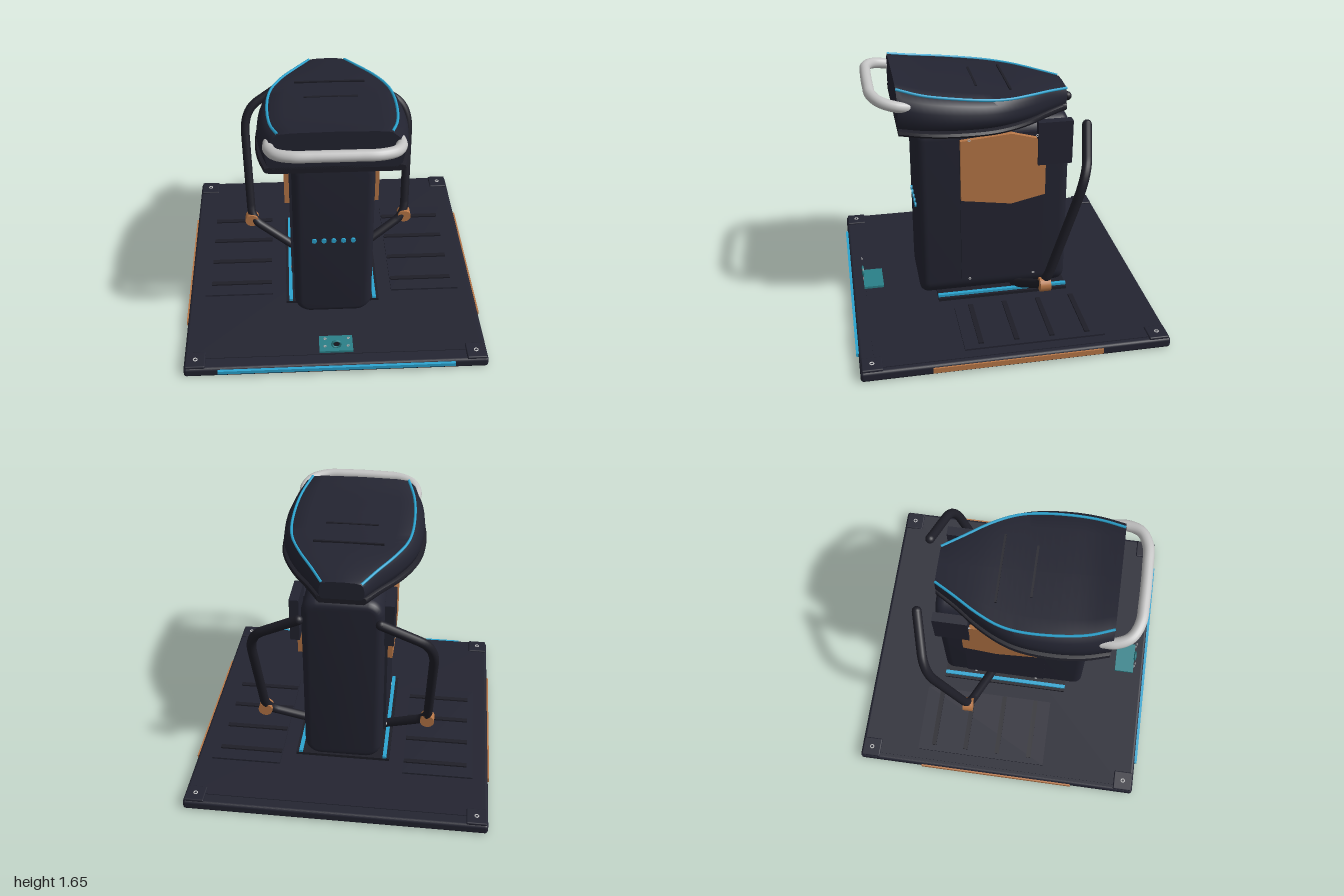
import * as THREE from 'three';
import { toCreasedNormals } from 'three/addons/utils/BufferGeometryUtils.js';
import { RoundedBoxGeometry } from 'three/addons/geometries/RoundedBoxGeometry.js';

const paint = (name, color) => {
  const m = new THREE.MeshStandardMaterial({ color });
  m.name = name;
  return m;
};
const V = (x, y, z) => new THREE.Vector3(x, y, z);

// Closed skin over a list of convex rings, ordered back to front
function loft(rings) {
  const n = rings[0].length, pos = [], idx = [];
  rings.forEach(r => r.forEach(p => pos.push(p.x, p.y, p.z)));
  for (let i = 0; i < rings.length - 1; i++) {
    for (let j = 0; j < n; j++) {
      const a = i * n + j, b = i * n + (j + 1) % n;
      idx.push(a, b, b + n, a, b + n, a + n);
    }
  }
  const last = (rings.length - 1) * n;
  for (let j = 1; j < n - 1; j++) {
    idx.push(0, j + 1, j);
    idx.push(last, last + j, last + j + 1);
  }
  const g = new THREE.BufferGeometry();
  g.setAttribute('position', new THREE.Float32BufferAttribute(pos, 3));
  g.setIndex(idx);
  return toCreasedNormals(g, 0.7);
}

// Full ring from the right half of a section, given from bottom to top
function mirrorRing(half, z) {
  const right = half.map(([x, y]) => V(x, y, z));
  const left = half.filter(p => p[0] > 0).reverse().map(([x, y]) => V(-x, y, z));
  return [...right, ...left];
}

function roundedRect(x0, y0, x1, y1, r) {
  const s = new THREE.Shape();
  s.absarc(x1 - r, y0 + r, r, -Math.PI / 2, 0);
  s.absarc(x1 - r, y1 - r, r, 0, Math.PI / 2);
  s.absarc(x0 + r, y1 - r, r, Math.PI / 2, Math.PI);
  s.absarc(x0 + r, y0 + r, r, Math.PI, Math.PI * 1.5);
  return s;
}

export function createModel() {
  const root = new THREE.Group();
  root.name = 'seatOnPlatform';
  const navy = paint('dark navy', 0x232431);
  const black = paint('soft black', 0x1e1e27);
  const copper = paint('copper', 0xb87747);
  const cyan = paint('cyan', 0x2ba4d0);
  const teal = paint('teal', 0x2a8088);
  const silver = paint('silver', 0xc4c4c4);

  const add = (name, geo, mat, x = 0, y = 0, z = 0) => {
    const m = new THREE.Mesh(geo, mat);
    m.name = name;
    m.position.set(x, y, z);
    root.add(m);
    return m;
  };
  // Box given by its limits
  const box = (name, mat, x0, x1, y0, y1, z0, z1) => add(name,
    new THREE.BoxGeometry(x1 - x0, y1 - y0, z1 - z0), mat, (x0 + x1) / 2, (y0 + y1) / 2, (z0 + z1) / 2);
  const tube = (name, curve, r, mat, steps = 48, sides = 14) =>
    add(name, new THREE.TubeGeometry(curve, steps, r, sides), mat);
  const ball = (name, p, r, mat) => add(name, new THREE.SphereGeometry(r, 14, 10), mat, p.x, p.y, p.z);

  // Platform with raised centre, edge strips and corner plates
  add('platform', new RoundedBoxGeometry(1.98, 0.07, 1.98, 3, 0.02), navy, 0, 0.035, -0.01);
  box('platformTop', navy, -0.95, 0.95, 0.06, 0.075, -0.92, 0.89);
  box('frontLightStrip', cyan, -0.77, 0.77, 0.035, 0.06, 0.975, 0.995);
  for (const s of [-1, 1]) {
    const side = (name, mat, x0, x1, ...rest) =>
      box(name, mat, Math.min(s * x0, s * x1), Math.max(s * x0, s * x1), ...rest);
    side('sideStrip', copper, 0.98, 1.0, 0.02, 0.055, -0.55, 0.535);
    for (const z of [-0.925, 0.905]) {
      add('cornerPlate', new RoundedBoxGeometry(0.13, 0.03, 0.13, 2, 0.008), navy, s * 0.915, 0.068, z);
      add('cornerBolt', new THREE.TorusGeometry(0.012, 0.004, 6, 16), silver, s * 0.915, 0.084, z).rotation.x = Math.PI / 2;
    }

    // Ribbed foot pad
    side('footPad', navy, 0.415, 0.885, 0.07, 0.087, -0.59, 0.32);
    for (let i = 0; i < 4; i++) {
      const z = -0.48 + i * 0.23;
      side('footPadRib', black, 0.42, 0.845, 0.08, 0.097, z - 0.016, z + 0.016);
    }
    side('floorLight', cyan, 0.275, 0.3, 0.095, 0.112, -0.48, 0.41);

    // Pedestal side cover with copper panel and screws
    side('sideCover', navy, 0.24, 0.278, 0.21, 1.27, -0.31, 0.245);
    const panel = new THREE.Shape([[-0.245, 0.83], [0.085, 0.78], [0.31, 0.83], [0.31, 1.06],
      [0.25, 1.235], [0.085, 1.28], [-0.245, 1.25]].map(p => new THREE.Vector2(...p)));
    const panelGeo = new THREE.ExtrudeGeometry(panel, { depth: 0.035, bevelEnabled: false });
    panelGeo.rotateY(Math.PI / 2);
    add('copperPanel', panelGeo, copper, s > 0 ? 0.275 : -0.31);
    for (const y of [0.21, 1.255]) for (const z of [-0.25, 0.19]) {
      add('coverScrew', new THREE.TorusGeometry(0.007, 0.003, 5, 12), silver, s * (y > 1 ? 0.311 : 0.28), y, z).rotation.y = Math.PI / 2;
    }

    // Rear side block and copper cap under the seat
    side('rearBlock', navy, 0.265, 0.325, 1.05, 1.345, -0.48, -0.255);
    add('underSeatCap', new THREE.CylinderGeometry(0.055, 0.055, 0.025, 12), copper, s * 0.305, 1.325, 0.135);

    // Bent grab bar with copper joint
    const P = (x, y, z) => V(s * x, y, z);
    const bar = new THREE.CurvePath();
    const foot = P(0.22, 0.1, -0.13), joint = P(0.56, 0.3, -0.255), tip = P(0.25, 1.28, -0.59);
    bar.add(new THREE.LineCurve3(foot, P(0.5, 0.26, -0.235)));
    bar.add(new THREE.QuadraticBezierCurve3(P(0.5, 0.26, -0.235), joint, P(0.563, 0.38, -0.29)));
    bar.add(new THREE.LineCurve3(P(0.563, 0.38, -0.29), P(0.58, 0.9, -0.45)));
    bar.add(new THREE.QuadraticBezierCurve3(P(0.58, 0.9, -0.45), P(0.59, 1.07, -0.5), P(0.49, 1.135, -0.53)));
    bar.add(new THREE.LineCurve3(P(0.49, 1.135, -0.53), tip));
    tube('grabBar', bar, 0.031, black, 72);
    ball('grabBarFoot', foot, 0.031, black);
    ball('grabBarTip', tip, 0.031, black);
    add('grabBarJoint', new THREE.CylinderGeometry(0.048, 0.048, 0.07, 20), copper, s * 0.56, 0.295, -0.262).rotation.x = Math.PI / 2;
  }

  // Pedestal
  box('pedestalFoot', black, -0.32, 0.32, 0.07, 0.095, -0.48, 0.41);
  const body = new THREE.ExtrudeGeometry(roundedRect(-0.21, 0.13, 0.21, 1.3, 0.06), {
    depth: 0.88, bevelEnabled: true, bevelThickness: 0.06, bevelSize: 0.05, bevelSegments: 5, curveSegments: 8 });
  add('pedestal', toCreasedNormals(body, 0.6), navy, 0, 0, -0.42);
  for (let i = -2; i <= 2; i++) {
    add('statusLight', new THREE.CylinderGeometry(0.016, 0.016, 0.02, 16), cyan, i * 0.0625, 0.733, 0.522).rotation.x = Math.PI / 2;
  }

  // Front badge: teal tray, ring and four small bolts
  box('frontTray', teal, -0.11, 0.11, 0.097, 0.113, 0.765, 0.9);
  add('trayRing', new THREE.TorusGeometry(0.028, 0.007, 8, 24), teal, 0, 0.178, 0.9);
  add('ringFace', new THREE.CircleGeometry(0.026, 20), black, 0, 0.178, 0.9);
  add('ringBack', new THREE.CircleGeometry(0.026, 20), teal, 0, 0.178, 0.898).rotation.y = Math.PI;
  for (const x of [-0.075, 0.075]) for (const y of [0.16, 0.23]) {
    add('badgeBolt', new THREE.TorusGeometry(0.007, 0.003, 5, 12), silver, x, y, 0.9);
  }

  // Seat guide curves: outer edge (x, lower y) and top edge (x, upper y)
  const zs = [-0.48, -0.35, -0.2, -0.05, 0.1, 0.3, 0.48, 0.635];
  const guide = (xs, ys) => new THREE.CatmullRomCurve3(zs.map((z, i) => V(xs[i], ys[i], z)), false, 'catmullrom', 0.5);
  const outer = guide([0.14, 0.22, 0.325, 0.405, 0.45, 0.465, 0.45, 0.41],
    [1.385, 1.378, 1.373, 1.373, 1.376, 1.382, 1.39, 1.4]);
  const trim = guide([0.12, 0.2, 0.295, 0.365, 0.393, 0.395, 0.375, 0.33],
    [1.485, 1.505, 1.523, 1.535, 1.55, 1.575, 1.6, 1.635]);
  const cushion = [], slab = [];
  for (let i = 0; i <= 28; i++) {
    const o = outer.getPoint(i / 28), t = trim.getPoint(i / 28);
    const w = o.x, yb = o.y, h = t.y - yb;
    cushion.push(mirrorRing([[0, yb - 0.01], [w * 0.9, yb - 0.01], [w * 0.97, yb + 0.015], [w, yb + h * 0.32],
      [w * 0.985, yb + h * 0.58], [t.x + (w - t.x) * 0.55, yb + h * 0.84], [t.x, t.y],
      [t.x * 0.75, t.y + 0.008], [0, t.y + 0.012]], t.z));
    const v = w + 0.013;
    slab.push(mirrorRing([[0, yb - 0.042], [v * 0.9, yb - 0.042], [v * 0.98, yb - 0.032], [v, yb - 0.018],
      [v * 0.98, yb - 0.003], [v * 0.92, yb + 0.004], [0, yb + 0.004]], t.z));
  }
  add('seatCushion', loft(cushion), navy);
  add('seatSlab', loft(slab), black);
  for (const s of [-1, 1]) {
    const pts = trim.getPoints(28).map(p => V(s * p.x, p.y + 0.002, p.z));
    tube('seatTrim', new THREE.CatmullRomCurve3(pts), 0.009, cyan, 56, 8);
  }
  box('seatSeamRear', black, -0.225, 0.225, 1.53, 1.552, -0.097, -0.083);
  box('seatSeamFront', black, -0.17, 0.17, 1.55, 1.568, 0.113, 0.127);

  // Silver handle wrapping the seat front
  const handle = [[0.385, 1.535, 0.57], [0.385, 1.55, 0.65], [0.345, 1.57, 0.735], [0.25, 1.583, 0.782], [0.12, 1.587, 0.79]];
  const full = [...handle, ...handle.slice().reverse().map(([x, y, z]) => [-x, y, z])].map(p => V(...p));
  tube('seatHandle', new THREE.CatmullRomCurve3(full), 0.035, silver, 80, 16);
  ball('seatHandleEnd', full[0], 0.035, silver);
  ball('seatHandleEnd', full[full.length - 1], 0.035, silver);

  return root;
}
